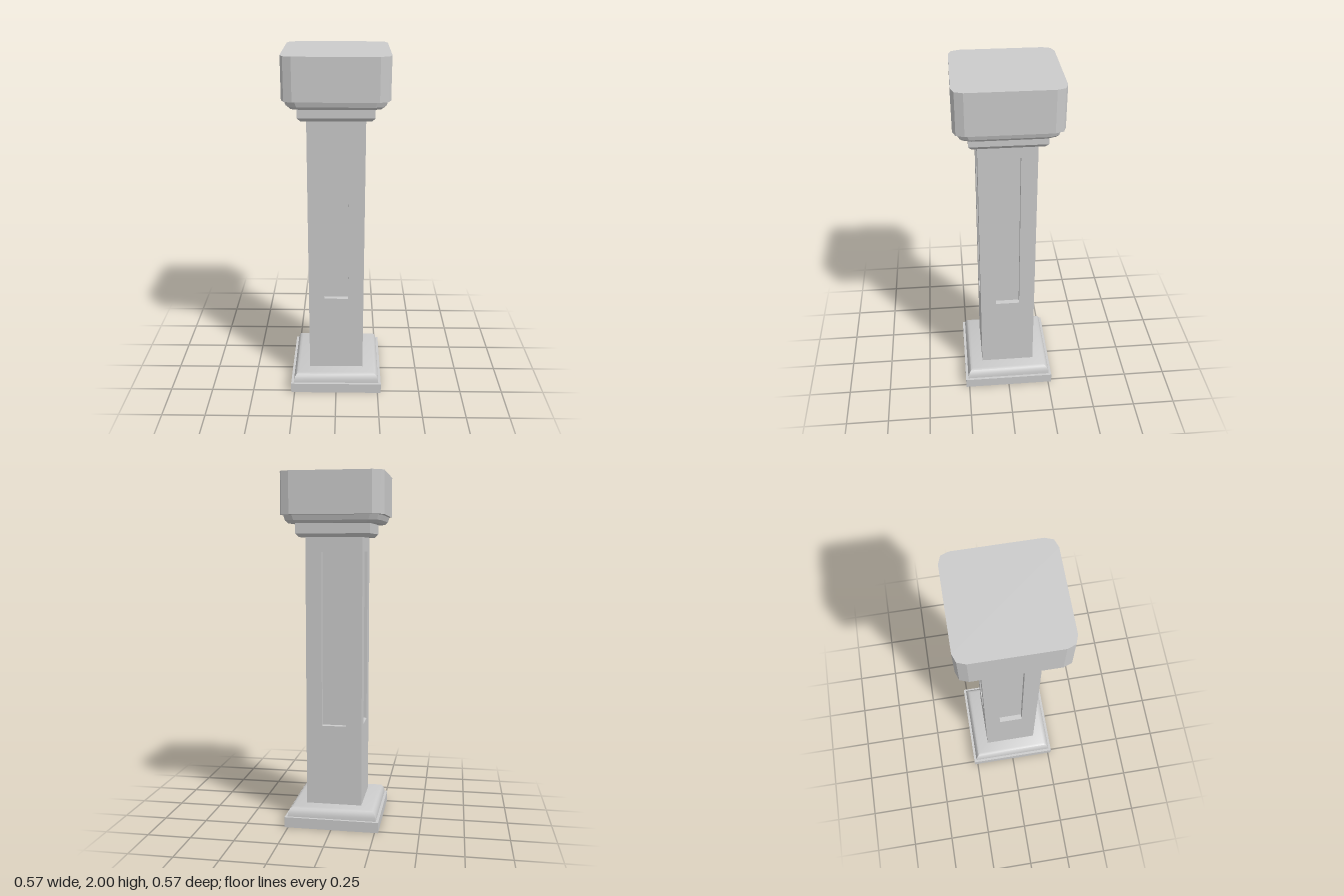
import * as THREE from 'three';
import { toCreasedNormals } from 'three/addons/utils/BufferGeometryUtils.js';

const material = new THREE.MeshStandardMaterial({ color: 0xcccccc });

// Joins a list of rings into a skin; the ends are closed with fans.
function skin(rings, { startCap = true, crease = 0.1 } = {}) {
  const pos = [];
  const tri = (...pts) => pts.forEach((p) => pos.push(p.x, p.y, p.z));
  const n = rings[0].length;
  for (let k = 0; k < rings.length - 1; k++) {
    for (let i = 0; i < n; i++) {
      const j = (i + 1) % n;
      const [a, b, c, d] = [rings[k][i], rings[k][j], rings[k + 1][j], rings[k + 1][i]];
      tri(a, b, c);
      tri(a, c, d);
    }
  }
  const first = rings[0], last = rings[rings.length - 1];
  for (let i = 1; i < n - 1; i++) {
    tri(last[0], last[i], last[i + 1]);
    if (startCap) tri(first[0], first[i + 1], first[i]);
  }
  const geo = new THREE.BufferGeometry();
  geo.setAttribute('position', new THREE.Float32BufferAttribute(pos, 3));
  return toCreasedNormals(geo, crease);
}

// Horizontal rings, counter-clockwise from above
const squareRing = ([r, y]) =>
  [[r, r], [r, -r], [-r, -r], [-r, r]].map(([x, z]) => new THREE.Vector3(x, y, z));

function roundedRing([r, y]) {
  const corner = [[r - 0.06, r], [r - 0.016, r - 0.016], [r, r - 0.06]];
  const ring = [];
  for (let q = 0; q < 4; q++) {
    for (const [x, z] of corner) {
      ring.push(new THREE.Vector3(x, y, z).applyAxisAngle(new THREE.Vector3(0, 1, 0), q * Math.PI / 2));
    }
  }
  return ring;
}

export function createModel() {
  const group = new THREE.Group();
  group.name = 'column';
  const add = (name, geo, parent = group) => {
    const mesh = new THREE.Mesh(geo, material);
    mesh.name = name;
    parent.add(mesh);
    return mesh;
  };

  // Base: square slab with a rounded moulding
  add('plinth', skin([[0.27, 0], [0.27, 0.06]].map(squareRing)));
  add('baseMoulding', skin(
    [[0.255, 0.06], [0.253, 0.08], [0.246, 0.097], [0.236, 0.109], [0.222, 0.115]].map(squareRing),
    { crease: 0.6 }));

  // Shaft: four faces, each with a recessed panel
  const half = 0.16, bottom = 0.115, top = 1.65;
  const pw = 0.07, p0 = 0.58, p1 = 1.57, depth = 0.03;
  const rect = (w, y0, y1) => [[-w, y0], [w, y0], [w, y1], [-w, y1]];
  const toV2 = ([x, y]) => new THREE.Vector2(x, y);

  const faceShape = new THREE.Shape(rect(half, bottom, top).map(toV2));
  faceShape.holes.push(new THREE.Path(rect(pw, p0, p1).map(toV2)));
  const faceGeo = new THREE.ShapeGeometry(faceShape).translate(0, 0, half);
  const recessGeo = skin(
    [half, half - depth].map((z) => rect(pw, p0, p1).map(([x, y]) => new THREE.Vector3(x, y, z))),
    { startCap: false });

  const shaft = new THREE.Group();
  shaft.name = 'shaft';
  group.add(shaft);
  ['front', 'left', 'back', 'right'].forEach((side, i) => {
    add(`${side}Face`, faceGeo, shaft).rotation.y = i * Math.PI / 2;
    add(`${side}Panel`, recessGeo, shaft).rotation.y = i * Math.PI / 2;
  });

  // Neck: stepped collar under the capital
  add('neck', skin([[0.19, 1.65], [0.207, 1.67], [0.207, 1.725]].map(squareRing)));

  // Capital: block with rounded corners and a sloped underside
  add('capital', skin(
    [[0.25, 1.725], [0.264, 1.74], [0.272, 1.768], [0.285, 1.77], [0.285, 2]].map(roundedRing)));

  return group;
}
